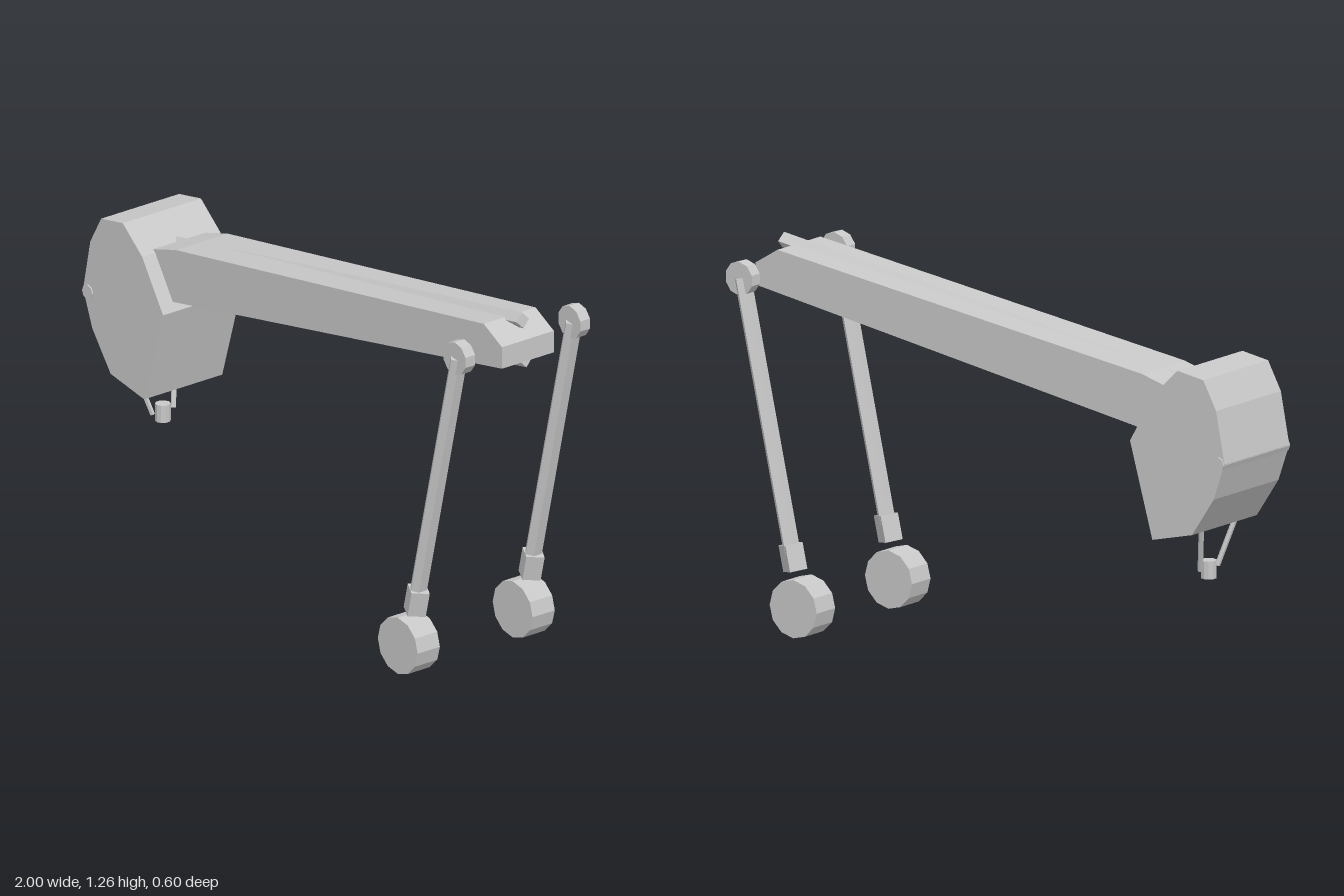
import * as THREE from 'three';

const grey = new THREE.MeshStandardMaterial({ color: 0xc8c8c8, flatShading: true });
grey.name = 'light grey';

const mesh = (name, geometry) => {
  const m = new THREE.Mesh(geometry, grey);
  m.name = name;
  return m;
};

// Side outline in x, y extruded evenly about z = 0
function slab(name, outline, width) {
  const shape = new THREE.Shape(outline.map(([x, y]) => new THREE.Vector2(x, y)));
  const geometry = new THREE.ExtrudeGeometry(shape, { depth: width, bevelEnabled: false });
  return mesh(name, geometry.translate(0, 0, -width / 2));
}

// Straight prism between two points; flat squashes it across its axis
function strut(name, from, to, radius, sides, flat = 1, turn = 0) {
  const a = new THREE.Vector3(...from), b = new THREE.Vector3(...to);
  const geometry = new THREE.CylinderGeometry(radius, radius, a.distanceTo(b), sides, 1, false, turn);
  const m = mesh(name, geometry.scale(flat, 1, 1));
  m.position.copy(a).add(b).multiplyScalar(0.5);
  m.quaternion.setFromUnitVectors(new THREE.Vector3(0, 1, 0), b.sub(a).normalize());
  return m;
}

// Short cylinder lying along z
function drum(name, x, y, radius, width, sides) {
  const m = mesh(name, new THREE.CylinderGeometry(radius, radius, width, sides).rotateX(Math.PI / 2));
  m.position.set(x, y, 0);
  return m;
}

function leg(name, z) {
  const g = new THREE.Group();
  g.name = name;
  g.position.z = z;
  g.add(
    drum('hipJoint', 0.94, 1.165, 0.057, 0.042, 10),
    strut('legPole', [0.734, 0.27, 0], [0.94, 1.165, 0], 0.035, 6, 0.7),
    strut('ankleBlock', [0.723, 0.214, 0.002], [0.743, 0.3, 0.002], 0.0435, 4, 1, 0.28),
    drum('foot', 0.692, 0.098, 0.098, 0.097, 12)
  );
  return g;
}

export function createModel() {
  const model = new THREE.Group();
  model.name = 'walker';

  // Head with a bar across its rear edge
  model.add(slab('head', [
    [-1, 0.825], [-0.955, 0.7], [-0.865, 0.567], [-0.7, 0.525], [-0.607, 0.845],
    [-0.71, 1.02], [-0.805, 1.11], [-0.912, 1.095], [-0.965, 1]
  ], 0.34));
  model.add(drum('rearBar', -0.975, 0.822, 0.025, 0.35, 8));

  // Long sloping boom with a chamfered end and diamond rods along top and bottom
  model.add(slab('boom', [
    [-0.75, 0.855], [-0.617, 0.874], [0.995, 1.105], [0.995, 1.18],
    [0.905, 1.236], [-0.61, 1.058], [-0.71, 1.032], [-0.75, 1.02]
  ], 0.226));
  model.add(strut('topRod', [-0.75, 1.013, 0], [0.97, 1.238, 0], 0.027, 4));
  model.add(strut('bottomRod', [-0.7, 0.876, 0], [0.985, 1.104, 0], 0.025, 4));

  // Matching legs
  model.add(leg('leftLeg', 0.25), leg('rightLeg', -0.25));

  // Two thin prongs and a nub under the head
  for (const s of [1, -1]) {
    model.add(strut('chinProng', [-0.8, 0.413, 0.045 * s], [-0.845, 0.59, 0.095 * s], 0.009, 6));
  }
  model.add(strut('chinNub', [-0.8, 0.38, 0], [-0.8, 0.44, 0], 0.026, 10));

  return model;
}
